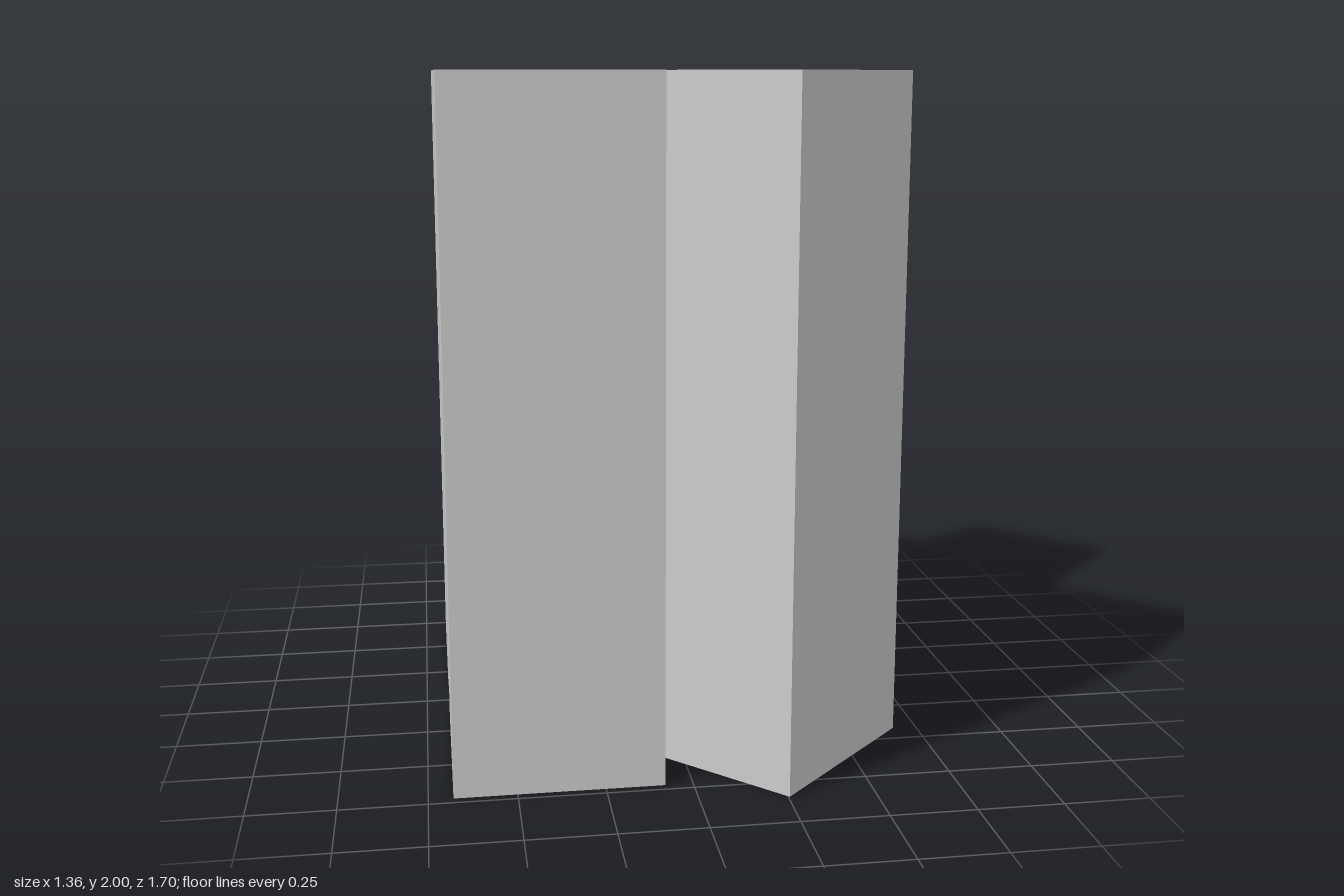
import * as THREE from 'three';

export function createModel() {
  const group = new THREE.Group();
  const material = new THREE.MeshStandardMaterial({ color: 0xcccccc, flatShading: true });

  const addBlock = (name, [w, h, d], [x, y, z], turn = 0) => {
    const mesh = new THREE.Mesh(new THREE.BoxGeometry(w, h, d), material);
    mesh.name = name;
    mesh.position.set(x, y, z);
    mesh.rotation.y = turn;
    group.add(mesh);
  };

  // Mirrored pairs of square columns: one pair straight, one pair turned 45 degrees
  const side = 0.6, height = 2, offset = 0.424;
  for (const [label, s] of [['front', 1], ['back', -1]]) {
    addBlock(label + 'StraightColumn', [side, height, side], [-0.38, 1, s * offset]);
    addBlock(label + 'TurnedColumn', [side, height, side], [0.254, 1, s * offset], Math.PI / 4);
  }

  // Shorter core joining the columns at mid height
  addBlock('core', [0.85, 0.86, 0.84], [-0.17, 1, 0]);

  return group;
}
